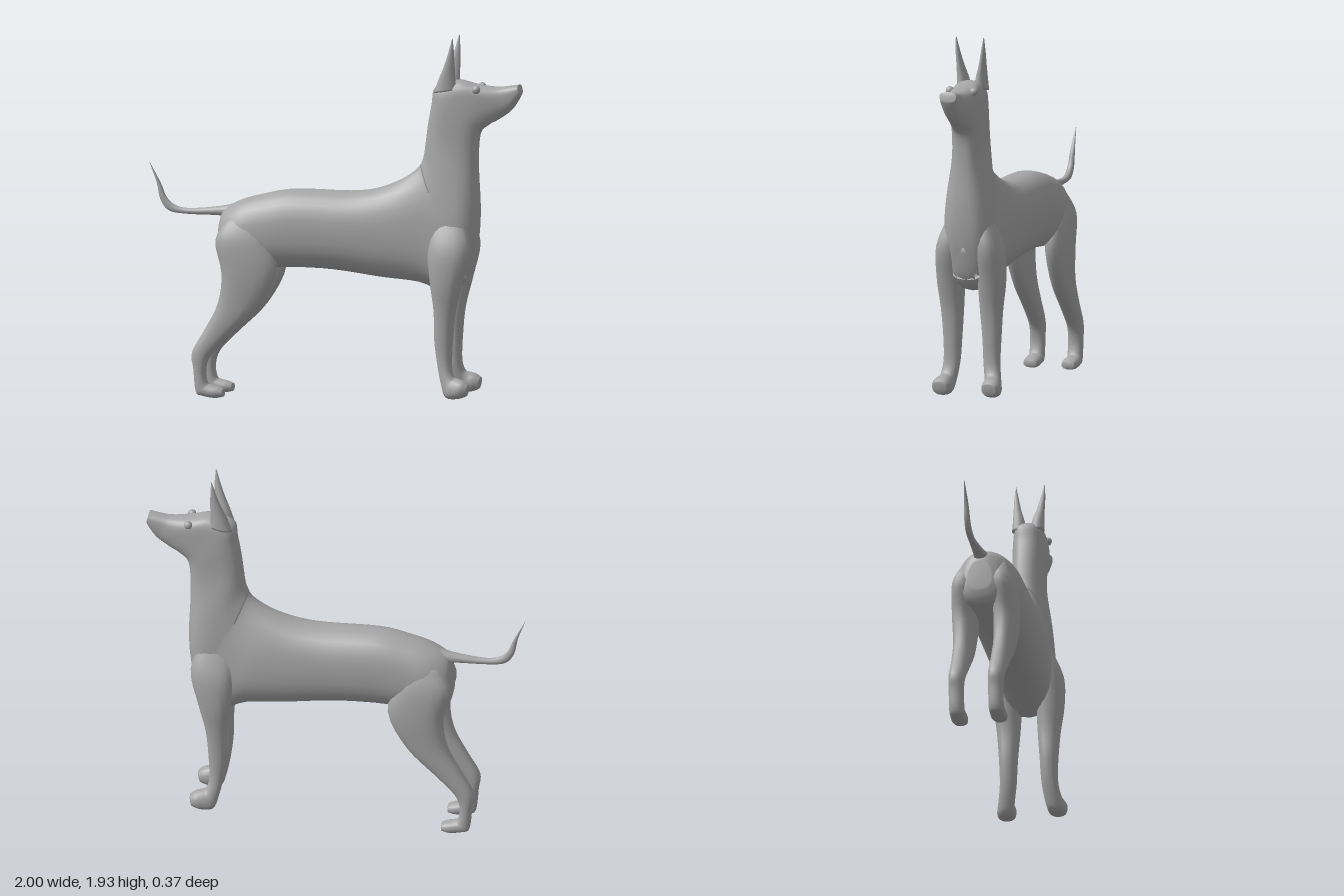
import * as THREE from 'three';

// Smooth loft. Each section is a chord A-B in the side plane plus half widths:
// [ax, ay, bx, by, zCentre, halfWidthAtA, halfWidthAtB]
function loft(sections, { side = 1, seg = 28, steps = 4, power = 0.85 } = {}) {
  const pos = [], idx = [];
  const bend = (v) => Math.sign(v) * Math.pow(Math.abs(v), power);
  const hermite = (a, b, c, d, t) =>
    0.5 * (2 * b + (c - a) * t + (2 * a - 5 * b + 4 * c - d) * t * t + (3 * b - a - 3 * c + d) * t * t * t);
  const last = sections.length - 1;
  const at = (i) => sections[Math.max(0, Math.min(last, i))];
  const rings = [];
  for (let i = 0; i < last; i++)
    for (let s = 0; s < steps; s++)
      rings.push(at(i).map((v, k) => hermite(at(i - 1)[k], v, at(i + 1)[k], at(i + 2)[k], s / steps)));
  rings.push(sections[last]);
  for (const [ax, ay, bx, by, zc, wa, wb] of rings)
    for (let j = 0; j < seg; j++) {
      const t = (j / seg) * Math.PI * 2;
      const u = (1 + bend(Math.cos(t))) / 2;
      pos.push(ax + (bx - ax) * u, ay + (by - ay) * u, side * zc + bend(Math.sin(t)) * (wa + (wb - wa) * u));
    }
  for (let i = 0; i < rings.length - 1; i++)
    for (let j = 0; j < seg; j++) {
      const a = i * seg + j, b = i * seg + (j + 1) % seg;
      idx.push(a, b, a + seg, b, b + seg, a + seg);
    }
  // end caps
  for (const r of [0, rings.length - 1]) {
    const [ax, ay, bx, by, zc] = rings[r];
    const c = pos.length / 3;
    pos.push((ax + bx) / 2, (ay + by) / 2, side * zc);
    for (let j = 0; j < seg; j++) {
      const a = r * seg + j, b = r * seg + (j + 1) % seg;
      if (r === 0) idx.push(c, b, a); else idx.push(c, a, b);
    }
  }
  const g = new THREE.BufferGeometry();
  g.setAttribute('position', new THREE.Float32BufferAttribute(pos, 3));
  g.setIndex(idx);
  g.computeVertexNormals();
  return g;
}

// rump, back, chest
const torso = [
  [-0.62, 0.77, -0.615, 0.93, 0, 0.07, 0.05],
  [-0.595, 0.70, -0.59, 0.985, 0, 0.13, 0.09],
  [-0.52, 0.68, -0.50, 1.035, 0, 0.16, 0.13],
  [-0.38, 0.68, -0.38, 1.07, 0, 0.155, 0.145],
  [-0.22, 0.69, -0.22, 1.10, 0, 0.152, 0.152],
  [0.0, 0.685, 0.07, 1.10, 0, 0.152, 0.152],
  [0.25, 0.655, 0.22, 1.12, 0, 0.152, 0.15],
  [0.46, 0.635, 0.34, 1.165, 0, 0.155, 0.135],
  [0.60, 0.59, 0.42, 1.215, 0, 0.155, 0.115],
  [0.71, 0.66, 0.46, 1.26, 0, 0.155, 0.095],
  [0.757, 0.84, 0.478, 1.31, 0, 0.145, 0.085],
];
// neck and head
const neckHead = [
  [0.71, 0.66, 0.46, 1.26, 0, 0.155, 0.09],
  [0.757, 0.84, 0.478, 1.31, 0, 0.15, 0.085],
  [0.772, 1.02, 0.488, 1.38, 0, 0.125, 0.085],
  [0.765, 1.25, 0.50, 1.47, 0, 0.085, 0.086],
  [0.775, 1.42, 0.52, 1.58, 0, 0.08, 0.088],
  [0.825, 1.475, 0.54, 1.67, 0, 0.072, 0.088],
  [0.86, 1.495, 0.655, 1.705, 0, 0.062, 0.086],
  [0.90, 1.52, 0.76, 1.685, 0, 0.05, 0.078],
  [0.945, 1.555, 0.87, 1.675, 0, 0.046, 0.055],
  [0.98, 1.605, 0.95, 1.685, 0, 0.046, 0.05],
  [0.997, 1.64, 0.985, 1.69, 0, 0.044, 0.046],
];
const foreleg = [
  [0.54, 0.97, 0.70, 1.0, 0.08, 0.03, 0.03],
  [0.52, 0.82, 0.75, 0.84, 0.105, 0.07, 0.07],
  [0.535, 0.66, 0.71, 0.66, 0.113, 0.073, 0.07],
  [0.555, 0.50, 0.67, 0.50, 0.108, 0.06, 0.06],
  [0.558, 0.35, 0.655, 0.35, 0.108, 0.049, 0.049],
  [0.575, 0.22, 0.65, 0.22, 0.11, 0.044, 0.044],
  [0.60, 0.11, 0.665, 0.16, 0.122, 0.045, 0.043],
  [0.625, 0.05, 0.69, 0.15, 0.132, 0.046, 0.046],
  [0.69, 0.045, 0.72, 0.14, 0.136, 0.05, 0.05],
  [0.735, 0.06, 0.747, 0.12, 0.136, 0.038, 0.038],
];
const hindleg = [
  [-0.56, 0.94, -0.42, 0.97, 0.08, 0.04, 0.04],
  [-0.62, 0.83, -0.34, 0.85, 0.10, 0.07, 0.06],
  [-0.585, 0.66, -0.29, 0.68, 0.11, 0.068, 0.055],
  [-0.605, 0.50, -0.39, 0.48, 0.107, 0.054, 0.05],
  [-0.675, 0.36, -0.55, 0.32, 0.105, 0.045, 0.045],
  [-0.742, 0.24, -0.645, 0.22, 0.105, 0.042, 0.042],
  [-0.735, 0.15, -0.67, 0.14, 0.105, 0.04, 0.04],
  [-0.722, 0.03, -0.66, 0.08, 0.105, 0.04, 0.04],
  [-0.69, 0.01, -0.64, 0.068, 0.105, 0.041, 0.041],
  [-0.62, 0.0, -0.605, 0.06, 0.105, 0.043, 0.043],
  [-0.575, 0.008, -0.575, 0.048, 0.105, 0.034, 0.034],
];
const tail = [
  [-0.52, 1.02, -0.54, 0.93, 0, 0.05, 0.05],
  [-0.62, 0.995, -0.62, 0.945, 0, 0.032, 0.032],
  [-0.78, 0.978, -0.80, 0.947, 0, 0.018, 0.018],
  [-0.86, 0.992, -0.895, 0.962, 0, 0.017, 0.017],
  [-0.908, 1.035, -0.94, 1.02, 0, 0.016, 0.016],
  [-0.936, 1.10, -0.96, 1.11, 0, 0.012, 0.012],
  [-0.998, 1.213, -1.0, 1.215, 0, 0.002, 0.002],
];
const ear = [
  [0.66, 1.66, 0.54, 1.64, 0.047, 0.035, 0.04],
  [0.655, 1.72, 0.565, 1.71, 0.052, 0.026, 0.034],
  [0.654, 1.79, 0.595, 1.78, 0.062, 0.015, 0.024],
  [0.652, 1.86, 0.62, 1.85, 0.07, 0.01, 0.014],
  [0.647, 1.93, 0.643, 1.93, 0.076, 0.002, 0.002],
];

export function createModel() {
  const model = new THREE.Group();
  model.name = 'dog';
  const grey = new THREE.MeshStandardMaterial({ color: 0xa6a6a6 });
  grey.name = 'grey coat';
  const add = (name, geometry) => {
    const mesh = new THREE.Mesh(geometry, grey);
    mesh.name = name;
    model.add(mesh);
    return mesh;
  };

  add('torso', loft(torso));
  add('neckAndHead', loft(neckHead, { power: 0.75 }));
  add('tail', loft(tail, { seg: 12 }));

  // the dog faces +x, so its paired parts mirror across z
  for (const side of [1, -1]) {
    const tag = side > 0 ? 'Near' : 'Far';
    add('foreleg' + tag, loft(foreleg, { side, seg: 20 }));
    add('hindleg' + tag, loft(hindleg, { side, seg: 20 }));
    add('ear' + tag, loft(ear, { side, seg: 16, power: 1 }));
    add('eye' + tag, new THREE.SphereGeometry(0.022, 16, 12)).position.set(0.77, 1.665, side * 0.066);
  }
  return model;
}
